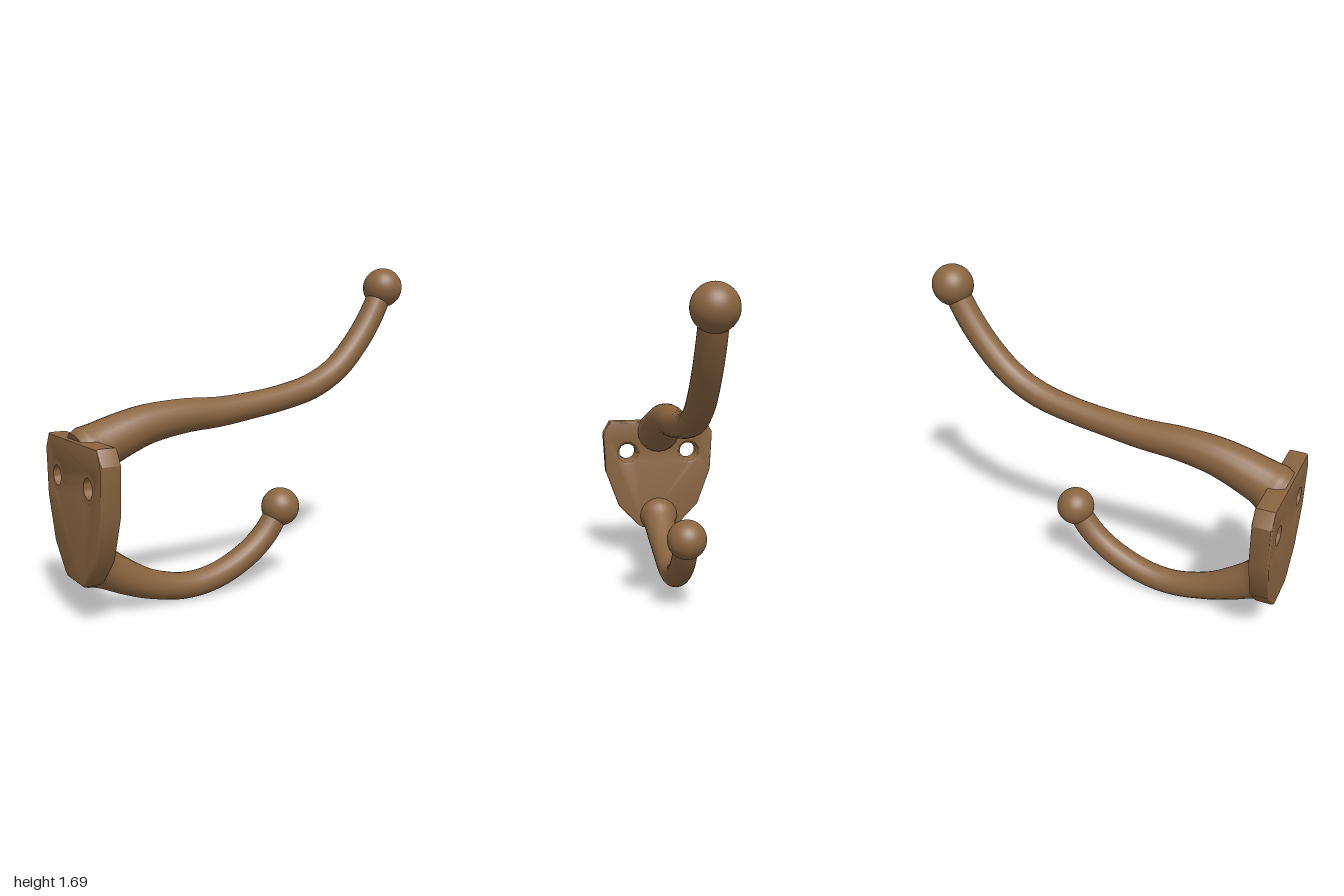
import * as THREE from 'three';
import { toCreasedNormals } from 'three/addons/utils/BufferGeometryUtils.js';

// Tapered round bar swept along a curve in the XY plane; each point is [x, y, radius].
function taperedBar(points, steps = 48, sides = 20) {
  const curve = new THREE.CatmullRomCurve3(points.map(p => new THREE.Vector3(...p)));
  const pos = [], index = [];
  for (let i = 0; i <= steps; i++) {
    const t = i / steps, p = curve.getPoint(t), d = curve.getTangent(t);
    const len = Math.hypot(d.x, d.y);
    const nx = -d.y / len, ny = d.x / len;
    for (let j = 0; j < sides; j++) {
      const a = j / sides * Math.PI * 2, c = Math.cos(a) * p.z, s = Math.sin(a) * p.z;
      pos.push(p.x + nx * c, p.y + ny * c, s);
      if (i < steps) {
        const k = i * sides + j, l = i * sides + (j + 1) % sides;
        index.push(k, l, k + sides, l, l + sides, k + sides);
      }
    }
  }
  // wall-end cap; the far end is buried in the ball
  const centre = pos.length / 3;
  pos.push(points[0][0], points[0][1], 0);
  for (let j = 0; j < sides; j++) index.push(centre, (j + 1) % sides, j);
  const g = new THREE.BufferGeometry();
  g.setAttribute('position', new THREE.Float32BufferAttribute(pos, 3));
  g.setIndex(index);
  return toCreasedNormals(g, 0.8);
}

export function createModel() {
  const bronze = new THREE.MeshStandardMaterial({ color: 0x8a6540 });
  bronze.name = 'bronze';
  const model = new THREE.Group();
  model.name = 'coatHook';
  const add = (name, geometry, x = 0, y = 0, z = 0) => {
    const mesh = new THREE.Mesh(geometry, bronze);
    mesh.name = name;
    mesh.position.set(x, y, z);
    model.add(mesh);
  };

  // Shield-shaped wall plate with two screw holes
  const half = [[0.1, 0.195], [0.13, 0.215], [0.25, 0.34], [0.33, 0.56], [0.343, 0.8], [0.3, 0.875]];
  const outline = [...half, ...half.map(([z, y]) => [-z, y]).reverse()];
  const shape = new THREE.Shape(outline.map(p => new THREE.Vector2(...p)));
  const holeZ = 0.192, holeY = 0.68;
  for (const s of [-1, 1]) {
    const hole = new THREE.Path();
    hole.absarc(s * holeZ, holeY, 0.063, 0, Math.PI * 2, true);
    shape.holes.push(hole);
  }
  const bevel = 0.012;
  const plate = new THREE.ExtrudeGeometry(shape, {
    depth: 0.1 - 2 * bevel, bevelThickness: bevel, bevelSize: bevel,
    bevelOffset: -bevel, bevelSegments: 3, curveSegments: 32,
  });
  plate.translate(0, 0, bevel);
  plate.rotateY(Math.PI / 2);
  add('wallPlate', toCreasedNormals(plate, 0.5), -0.99);

  // Countersunk linings of the screw holes
  const profile = [[0.064, 0.088], [0.05, 0.06], [0.05, 0], [0.076, 0]];
  for (const s of [-1, 1]) {
    const lining = new THREE.LatheGeometry(profile.map(p => new THREE.Vector2(...p)), 32);
    lining.rotateZ(-Math.PI / 2);
    add(s > 0 ? 'leftScrewHole' : 'rightScrewHole', toCreasedNormals(lining, 0.4), -0.99, holeY, s * holeZ);
  }

  // Long upper arm, flared where it meets the plate
  add('upperArm', taperedBar([
    [-0.942, 0.795, 0.12], [-0.9, 0.812, 0.13], [-0.85, 0.836, 0.119], [-0.73, 0.883, 0.108],
    [-0.6, 0.922, 0.098], [-0.4, 0.948, 0.087], [-0.2, 0.954, 0.078], [0, 0.975, 0.071],
    [0.2, 1.005, 0.069], [0.4, 1.057, 0.07], [0.56, 1.145, 0.07], [0.7, 1.285, 0.069],
    [0.8, 1.425, 0.068], [0.885, 1.587, 0.066],
  ]));
  add('upperBall', new THREE.SphereGeometry(0.108, 36, 24), 0.885, 1.587);

  // Short lower arm
  add('lowerArm', taperedBar([
    [-0.94, 0.29, 0.105], [-0.895, 0.27, 0.118], [-0.84, 0.238, 0.1], [-0.72, 0.17, 0.085],
    [-0.6, 0.117, 0.074], [-0.4, 0.073, 0.068], [-0.22, 0.092, 0.068], [-0.03, 0.175, 0.067],
    [0.09, 0.272, 0.066], [0.19, 0.41, 0.064],
  ]));
  add('lowerBall', new THREE.SphereGeometry(0.103, 36, 24), 0.19, 0.41);

  return model;
}
